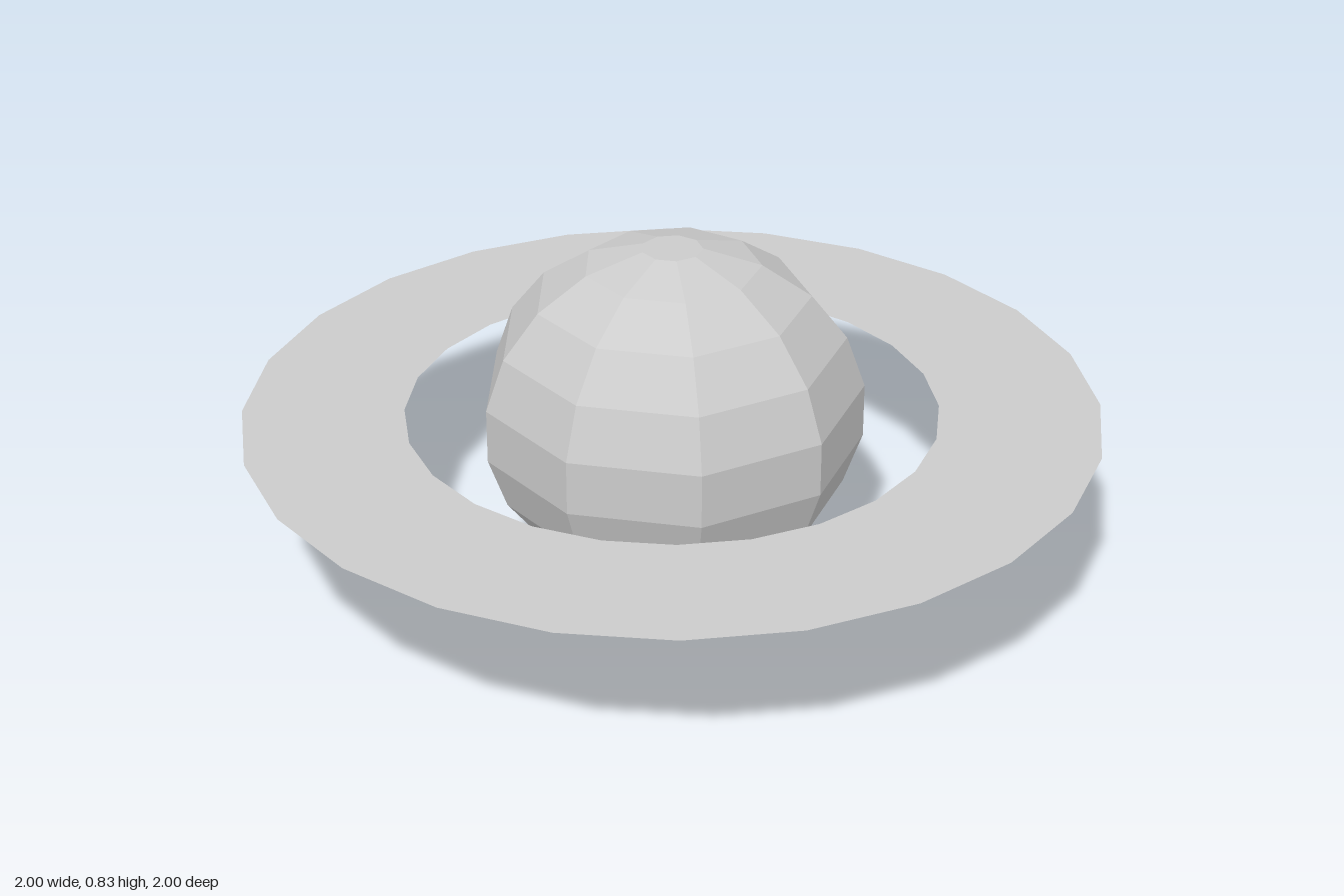
import * as THREE from 'three';

export function createModel() {
  const model = new THREE.Group();
  const midY = 0.413;

  // Planet: nine-sided faceted ball with small flat caps, a point facing back
  const profile = [new THREE.Vector2(0, -midY)];
  for (let deg = -81; deg <= 81; deg += 18) {
    const a = THREE.MathUtils.degToRad(deg);
    profile.push(new THREE.Vector2(0.4556 * Math.cos(a), 0.418 * Math.sin(a)));
  }
  profile.push(new THREE.Vector2(0, midY));
  const planet = new THREE.Mesh(
    new THREE.LatheGeometry(profile, 9, Math.PI),
    new THREE.MeshStandardMaterial({ color: 0xcccccc, flatShading: true })
  );
  planet.name = 'planet';
  planet.position.y = midY;
  model.add(planet);

  // Ring: flat 24-sided band around the equator, turned half a side
  const halfSide = Math.PI / 24;
  const ring = new THREE.Mesh(
    new THREE.RingGeometry(0.628, 1 / Math.cos(halfSide), 24, 1, halfSide),
    new THREE.MeshStandardMaterial({ color: 0xcccccc, flatShading: true, side: THREE.DoubleSide })
  );
  ring.name = 'ring';
  ring.rotation.x = -Math.PI / 2;
  ring.position.y = midY;
  model.add(ring);

  return model;
}
